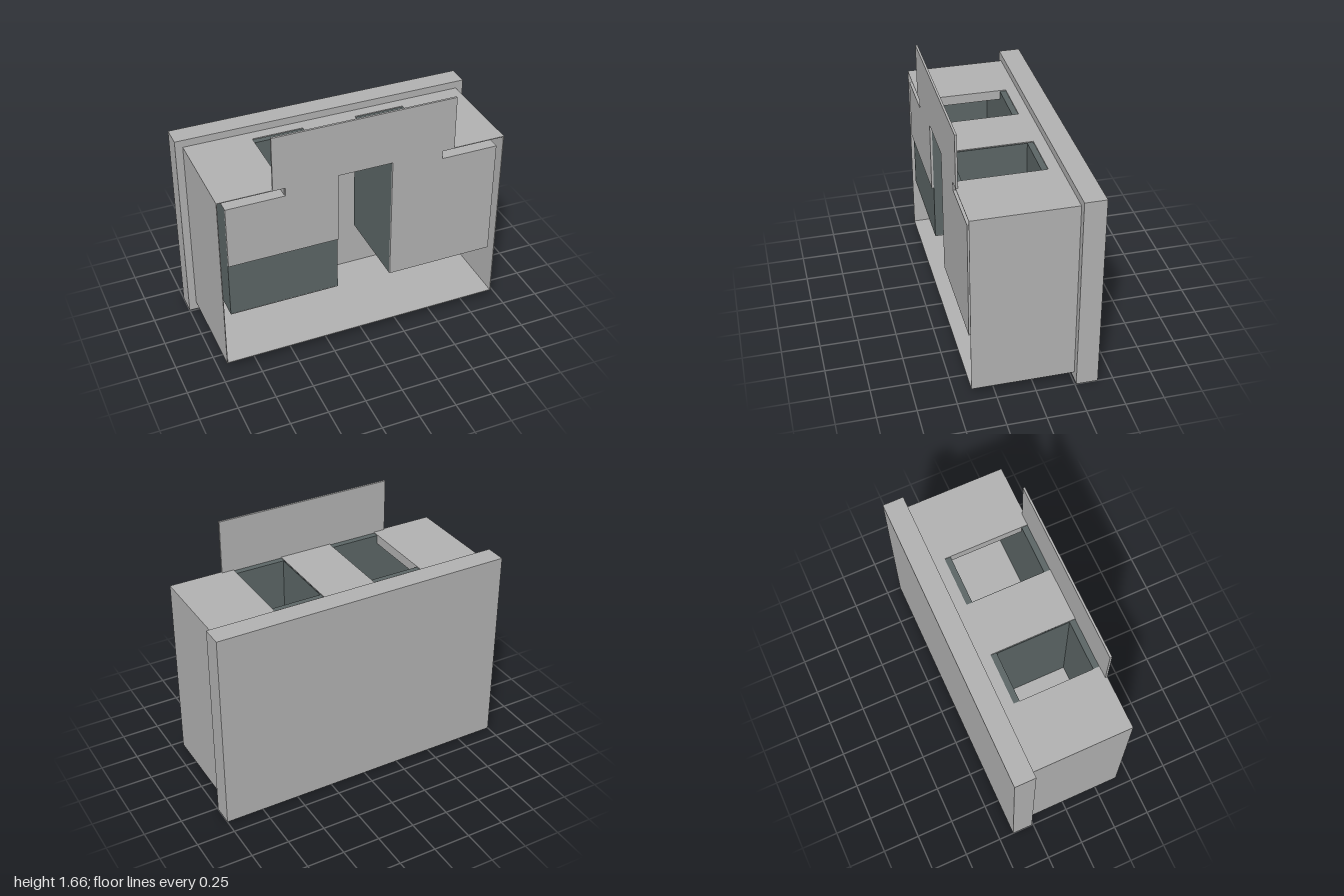
import * as THREE from 'three';

export function createModel() {
  const root = new THREE.Group();
  root.name = 'twoPocketWallBox';
  const grey = new THREE.MeshStandardMaterial({ color: 0xb1b1b1 });
  grey.name = 'light grey';
  const slate = new THREE.MeshStandardMaterial({ color: 0x5b6565 });
  slate.name = 'dark slate';

  // box given by its min and max corners
  function box(parent, name, mat, [x0, y0, z0], [x1, y1, z1]) {
    const g = new THREE.BoxGeometry(Math.abs(x1 - x0), y1 - y0, z1 - z0);
    const m = new THREE.Mesh(g, mat);
    m.position.set((x0 + x1) / 2, (y0 + y1) / 2, (z0 + z1) / 2);
    m.name = name;
    parent.add(m);
    return m;
  }
  const toShape = (pts) => new THREE.Shape(pts.map(([x, y]) => new THREE.Vector2(x, y)));

  const T = 0.005; // sheet thickness of the housing
  const F = 0.386; // back of the front sheet
  const B = -0.185; // back of the pockets

  // backing board
  box(root, 'backBoard', grey, [-1, 0, -0.4], [1, 1.35, -0.26]);

  // housing, open at the front
  const housing = new THREE.Group();
  housing.name = 'housing';
  root.add(housing);
  box(housing, 'housingFloor', grey, [-0.95, 0.055, -0.26], [0.95, 0.055 + T, 0.4]);
  for (const s of [-1, 1]) {
    box(housing, 'housingSide', grey, [s * (0.95 - T), 0.055, -0.26], [s * 0.95, 1.3, 0.4]);
  }

  // housing top with two slots (shape y becomes -z)
  const top = toShape([[-0.95, -0.4], [0.95, -0.4], [0.95, 0.26], [-0.95, 0.26]]);
  for (const s of [-1, 1]) {
    const hole = [[0.18, -F], [0.52, -F], [0.52, -B], [0.18, -B]];
    top.holes.push(new THREE.Path(hole.map(([x, y]) => new THREE.Vector2(s * x, y))));
  }
  const topGeo = new THREE.ExtrudeGeometry(top, { depth: T, bevelEnabled: false });
  topGeo.rotateX(-Math.PI / 2);
  const topMesh = new THREE.Mesh(topGeo, grey);
  topMesh.position.y = 1.3 - T;
  topMesh.name = 'housingTop';
  housing.add(topMesh);

  // front sheet with one short and one long leg
  const sheet = toShape([
    [-0.6, 1.66], [-0.6, 1.3], [-0.52, 1.3], [-0.52, 1.24], [-0.9, 1.24], [-0.9, 0.82],
    [-0.18, 0.82], [-0.18, 1.3], [0.18, 1.3], [0.18, 0.44], [0.9, 0.44], [0.9, 1.24],
    [0.52, 1.24], [0.52, 1.3], [0.6, 1.3], [0.6, 1.66],
  ]);
  const sheetGeo = new THREE.ExtrudeGeometry(sheet, { depth: 0.4 - F, bevelEnabled: false });
  const sheetMesh = new THREE.Mesh(sheetGeo, grey);
  sheetMesh.position.z = F;
  sheetMesh.name = 'frontSheet';
  root.add(sheetMesh);

  // two hollow pockets with a narrow neck below each slot
  for (const s of [-1, 1]) {
    const pocket = new THREE.Group();
    pocket.name = s > 0 ? 'leftPocket' : 'rightPocket';
    root.add(pocket);

    const wall = toShape([
      [0.18, 0.44], [0.9, 0.44], [0.9, 1.235], [0.52, 1.235], [0.52, 1.294], [0.18, 1.294],
    ].map(([x, y]) => [s * x, y]));
    for (const [name, z] of [['pocketFront', 0.345], ['pocketBack', B]]) {
      const g = new THREE.ExtrudeGeometry(wall, { depth: 0.04, bevelEnabled: false });
      const m = new THREE.Mesh(g, slate);
      m.position.z = z;
      m.name = name;
      pocket.add(m);
    }
    box(pocket, 'pocketInnerSide', slate, [s * 0.18, 0.44, B], [s * 0.185, 1.294, F]);
    box(pocket, 'pocketOuterSide', slate, [s * 0.895, 0.44, B], [s * 0.9, 1.235, F]);
    box(pocket, 'pocketFloor', grey, [s * 0.18, 0.435, B], [s * 0.9, 0.44, F]);
    box(pocket, 'pocketShoulder', grey, [s * 0.52, 1.235, B], [s * 0.9, 1.24, F]);
    box(pocket, 'pocketNeck', grey, [s * 0.52, 1.24, B], [s * 0.525, 1.296, F]);
  }

  return root;
}
